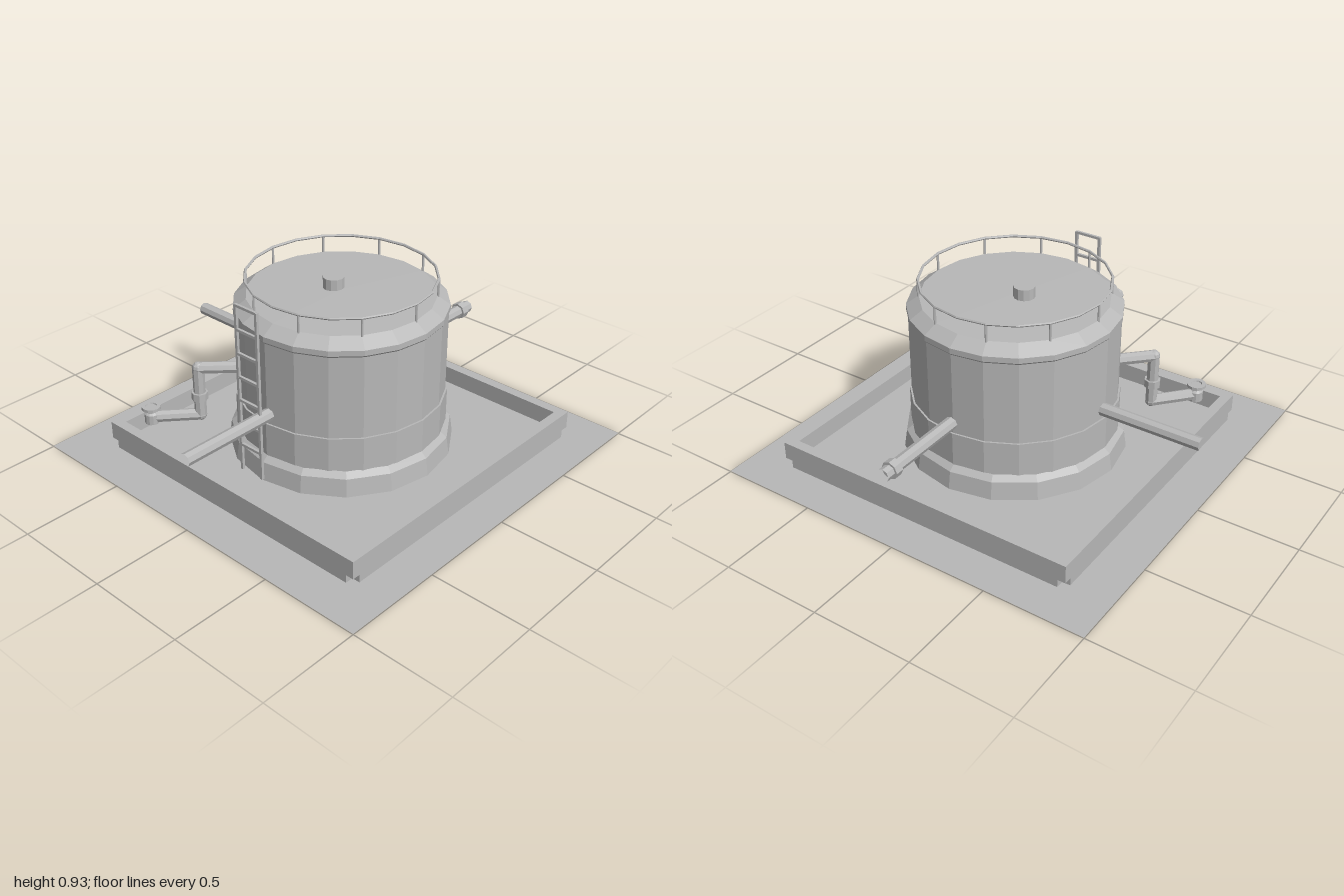
import * as THREE from 'three';

const CX = 0.01, CZ = -0.01; // tank axis

export function createModel() {
  const model = new THREE.Group();
  model.name = 'storageTank';
  const grey = new THREE.MeshStandardMaterial({ color: 0xb8b8b8, flatShading: true });
  grey.name = 'grey';
  const sheet = new THREE.MeshStandardMaterial({ color: 0xb8b8b8, side: THREE.DoubleSide });
  sheet.name = 'greySheet';

  const add = (name, geometry, x = 0, y = 0, z = 0, parent = model, material = grey) => {
    const mesh = new THREE.Mesh(geometry, material);
    mesh.name = name;
    mesh.position.set(x, y, z);
    parent.add(mesh);
    return mesh;
  };
  const group = (name) => {
    const g = new THREE.Group();
    g.name = name;
    model.add(g);
    return g;
  };
  const cyl = (r, h, sides = 8, open = false) => new THREE.CylinderGeometry(r, r, h, sides, 1, open);
  const lathe = (points, sides) =>
    new THREE.LatheGeometry(points.map(([r, y]) => new THREE.Vector2(r, y)), sides);
  // Straight pipe between two points
  const pipe = (name, a, b, r, parent, open = false, sides = 8) => {
    const from = new THREE.Vector3(...a), to = new THREE.Vector3(...b);
    const dir = to.clone().sub(from);
    const mesh = add(name, cyl(r, dir.length(), sides, open), 0, 0, 0, parent);
    mesh.position.copy(from).add(to).multiplyScalar(0.5);
    mesh.quaternion.setFromUnitVectors(new THREE.Vector3(0, 1, 0), dir.normalize());
    return mesh;
  };
  // Flat outline raised to a given height
  const slab = (shape, h) =>
    new THREE.ExtrudeGeometry(shape, { depth: h, bevelEnabled: false }).rotateX(-Math.PI / 2);
  const outline = (pts, Type = THREE.Shape) => new Type(pts.map(([x, y]) => new THREE.Vector2(x, y)));
  const square = (s) => [[-s, -s], [s, -s], [s, s], [-s, s]];

  // Ground sheet
  add('ground', new THREE.PlaneGeometry(2, 2).rotateX(-Math.PI / 2), 0, 0.003, 0, model, sheet);

  // Containment floor with notched corners, and the wall around it
  const o = 0.8, n = 0.76;
  add('basinFloor', slab(outline([
    [-n, -o], [n, -o], [n, -n], [o, -n], [o, n], [n, n],
    [n, o], [-n, o], [-n, n], [-o, n], [-o, -n], [-n, -n],
  ]), 0.04), CX, 0.005, CZ);
  const wall = outline(square(0.8));
  wall.holes.push(outline(square(0.75).reverse(), THREE.Path));
  add('basinWall', slab(wall, 0.09), CX, 0.045, CZ);

  // Tank: footing, shell, lower band and roof
  add('footing', lathe([[0, 0], [0.56, 0], [0.54, 0.135], [0.51, 0.16]], 16), CX, 0, CZ);
  add('shell', cyl(0.505, 0.63, 20, true), CX, 0.455, CZ);
  add('lowerBand', lathe([[0.5, 0.165], [0.514, 0.165], [0.514, 0.335], [0.5, 0.335]], 20), CX, 0, CZ);
  add('roof', lathe([[0.5, 0.745], [0.512, 0.76], [0.512, 0.787], [0.45, 0.83], [0, 0.836]], 20), CX, 0, CZ);
  add('roofVent', cyl(0.052, 0.06, 12), -0.04, 0.86, -0.01);

  // Roof railing
  const railing = group('railing');
  add('handrail', new THREE.TorusGeometry(0.452, 0.007, 6, 20).rotateX(Math.PI / 2), CX, 0.915, CZ, railing);
  for (let i = 0; i < 10; i++) {
    const a = (i + 0.5) * Math.PI / 5;
    add('railPost', cyl(0.006, 0.095, 6), CX + 0.452 * Math.sin(a), 0.868, CZ + 0.452 * Math.cos(a), railing);
  }

  // Ladder
  const ladder = group('ladder');
  for (const x of [-0.105, 0.025]) {
    add('ladderRail', new THREE.BoxGeometry(0.014, 0.87, 0.014), x, 0.495, 0.553, ladder);
  }
  for (let i = 0; i < 7; i++) {
    add('rung', new THREE.BoxGeometry(0.13, 0.013, 0.013), -0.04, 0.2 + i * 0.121, 0.553, ladder);
  }

  // Straight open pipes through the shell
  const pipes = group('straightPipes');
  pipe('sidePipe', [-0.47, 0.385, -0.027], [-1, 0.385, -0.027], 0.032, pipes, true);
  pipe('frontPipe', [0.02, 0.385, 0.47], [0.02, 0.385, 1], 0.032, pipes, true);
  pipe('rearPipe', [0.02, 0.385, -0.48], [0.02, 0.385, -1], 0.032, pipes, true);
  pipe('rearCollar', [0.02, 0.385, -0.915], [0.02, 0.385, -0.957], 0.043, pipes);

  // Bent drain pipe with collar and valve
  const drain = group('drainPipe');
  const path = [[-0.34, 0.425, 0.32], [-0.487, 0.425, 0.47], [-0.487, 0.165, 0.47], [-0.645, 0.165, 0.65]];
  for (let i = 0; i < 3; i++) pipe('drainSection', path[i], path[i + 1], 0.03, drain);
  for (const p of path.slice(1, 3)) add('elbow', new THREE.SphereGeometry(0.031, 8, 6), ...p, drain);
  add('drainCollar', cyl(0.041, 0.04), -0.487, 0.272, 0.47, drain);
  add('valve', lathe([
    [0, 0.135], [0.036, 0.135], [0.036, 0.185], [0.026, 0.195], [0.026, 0.21],
    [0.048, 0.212], [0.048, 0.227], [0.028, 0.227], [0.026, 0.22], [0, 0.22],
  ], 12), -0.645, 0, 0.65, drain);

  return model;
}
